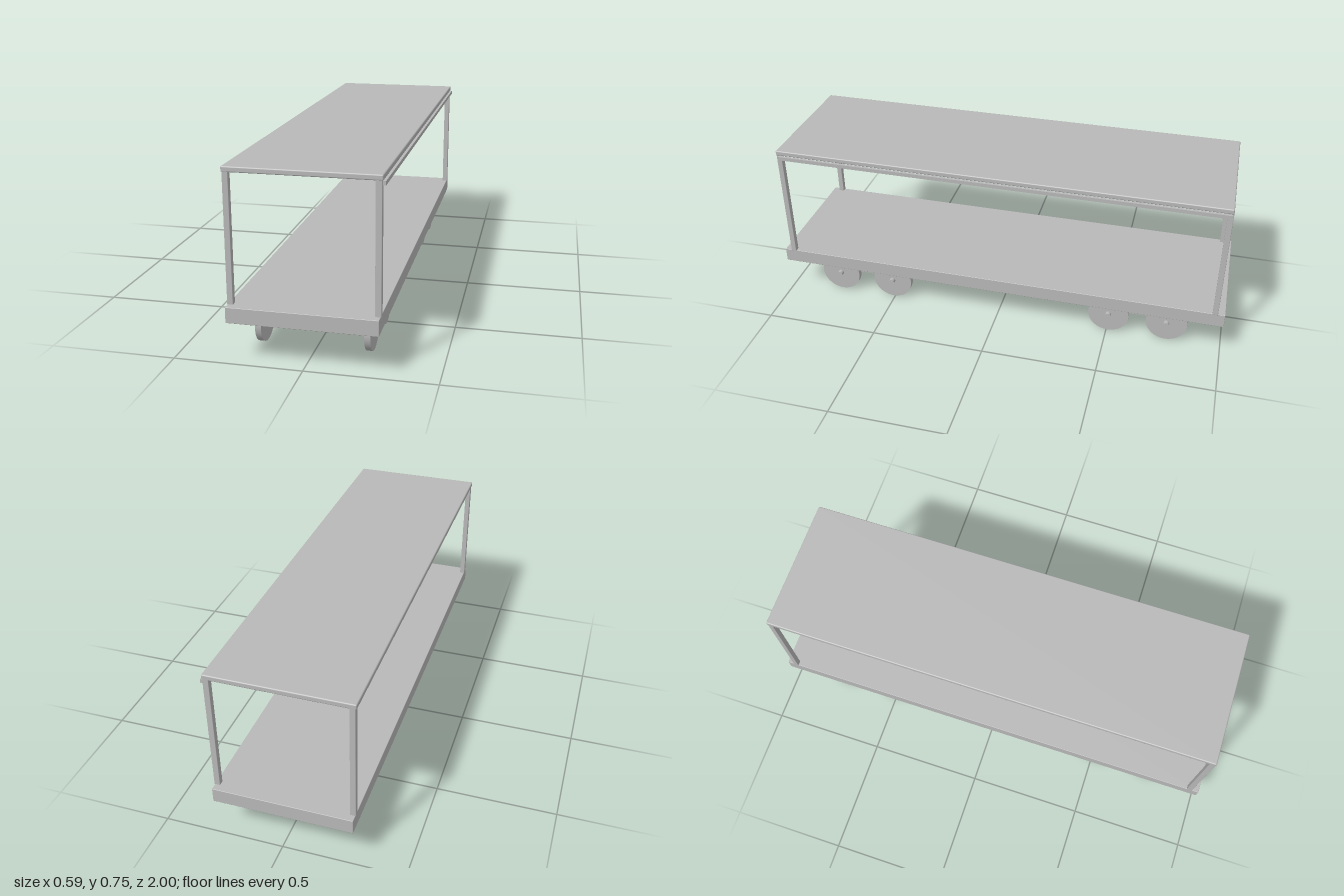
import * as THREE from 'three';
import { RoundedBoxGeometry } from 'three/addons/geometries/RoundedBoxGeometry.js';

export function createModel() {
  const model = new THREE.Group();
  model.name = 'railWagon';
  const grey = new THREE.MeshStandardMaterial({ color: 0xb8b8b8 });
  grey.name = 'light grey';

  // Block given by its extents, with optional slightly rounded edges
  function block(name, [x0, x1], [y0, y1], [z0, z1], radius = 0, parent = model) {
    const size = [x1 - x0, y1 - y0, z1 - z0];
    const geometry = radius
      ? new RoundedBoxGeometry(...size, 2, radius)
      : new THREE.BoxGeometry(...size);
    const mesh = new THREE.Mesh(geometry, grey);
    mesh.name = name;
    mesh.position.set((x0 + x1) / 2, (y0 + y1) / 2, (z0 + z1) / 2);
    parent.add(mesh);
  }

  // Cylinder lying across the wagon
  function crossCylinder(name, radius, [x0, x1], y, z, sides, parent) {
    const geometry = new THREE.CylinderGeometry(radius, radius, x1 - x0, sides).rotateZ(Math.PI / 2);
    const mesh = new THREE.Mesh(geometry, grey);
    mesh.name = name;
    mesh.position.set((x0 + x1) / 2, y, z);
    parent.add(mesh);
  }

  // Load deck and roof
  block('deck', [-0.29, 0.282], [0.162, 0.224], [-1, 1], 0.002);
  block('roof', [-0.296, 0.289], [0.724, 0.746], [-0.97, 0.97], 0.005);
  // Side rail hung under the roof edge on the left side
  block('sideRail', [0.284, 0.296], [0.706, 0.722], [-0.965, 0.96]);

  // Four corner posts
  for (const x of [[-0.292, -0.269], [0.261, 0.285]]) {
    for (const z of [[0.946, 0.969], [-0.97, -0.947]]) {
      block('cornerPost', x, [0.222, 0.735], z, 0.002);
    }
  }

  // Two bogies, each with a cross frame, two axles and four wheels
  const axleY = 0.09;
  for (const centre of [0.635, -0.633]) {
    const bogie = new THREE.Group();
    bogie.name = centre > 0 ? 'frontBogie' : 'rearBogie';
    model.add(bogie);
    block('bogieFrame', [-0.207, 0.199], [0.093, 0.144], [centre - 0.145, centre + 0.145], 0, bogie);
    for (const offset of [-0.128, 0.128]) {
      const z = centre + offset;
      crossCylinder('axle', 0.0125, [-0.249, 0.24], axleY, z, 24, bogie);
      crossCylinder('wheel', 0.09, [-0.229, -0.205], axleY, z, 48, bogie);
      crossCylinder('wheel', 0.09, [0.197, 0.221], axleY, z, 48, bogie);
    }
  }

  return model;
}
